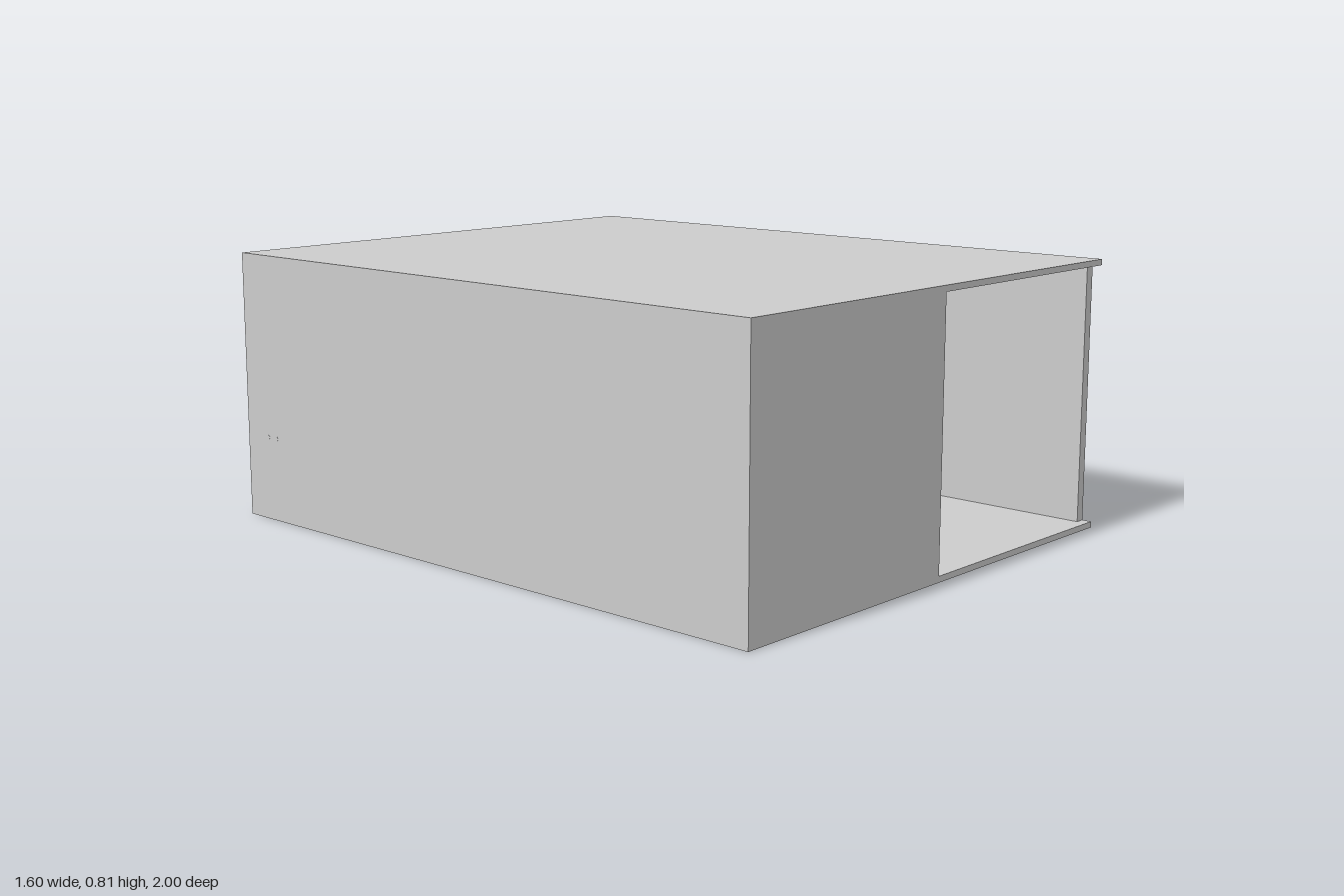
import * as THREE from 'three';
import { RoundedBoxGeometry } from 'three/addons/geometries/RoundedBoxGeometry.js';

const mat = new THREE.MeshStandardMaterial({ color: 0xcccccc, side: THREE.DoubleSide });

function add(parent, name, geometry, x = 0, y = 0, z = 0) {
  const mesh = new THREE.Mesh(geometry, mat);
  mesh.name = name;
  mesh.position.set(x, y, z);
  parent.add(mesh);
  return mesh;
}

// Box given by its minimum and maximum corners
function block(parent, name, [x0, y0, z0], [x1, y1, z1]) {
  return add(parent, name, new THREE.BoxGeometry(x1 - x0, y1 - y0, z1 - z0),
    (x0 + x1) / 2, (y0 + y1) / 2, (z0 + z1) / 2);
}

// Skin over elliptical rings: [y, centre z, half width, half length]
function loft(rings, n = 40) {
  const pos = [], idx = [];
  for (const [y, cz, rx, rz] of rings)
    for (let i = 0; i <= n; i++) {
      const a = (i / n) * Math.PI * 2;
      pos.push(Math.sin(a) * rx, y, cz + Math.cos(a) * rz);
    }
  for (let j = 0; j < rings.length - 1; j++)
    for (let i = 0; i < n; i++) {
      const a = j * (n + 1) + i, b = a + n + 1;
      idx.push(a, a + 1, b, a + 1, b + 1, b);
    }
  const g = new THREE.BufferGeometry();
  g.setAttribute('position', new THREE.Float32BufferAttribute(pos, 3));
  g.setIndex(idx);
  g.computeVertexNormals();
  return g;
}

function roundedRect(Type, w, h, r) {
  const s = new Type(), x = w / 2, y = h / 2;
  s.moveTo(-x + r, -y).lineTo(x - r, -y).quadraticCurveTo(x, -y, x, -y + r);
  s.lineTo(x, y - r).quadraticCurveTo(x, y, x - r, y);
  s.lineTo(-x + r, y).quadraticCurveTo(-x, y, -x, y - r);
  s.lineTo(-x, -y + r).quadraticCurveTo(-x, -y, -x + r, -y);
  return s;
}

const extrude = (shape, depth) =>
  new THREE.ExtrudeGeometry(shape, { depth, bevelEnabled: false, curveSegments: 20 });

// Shell with the right half of the front left open
function makeRoom() {
  const room = new THREE.Group();
  room.name = 'room';
  const X = 0.8, Z = 1, H = 0.81, t = 0.03, f = 0.018;
  block(room, 'floor', [-X, 0, -Z], [X, f, Z]);
  block(room, 'ceiling', [-X, H - f, -Z], [X, H, Z]);
  block(room, 'backWall', [-X, f, -Z], [X, H - f, -Z + t]);
  block(room, 'frontWall', [-X, f, Z - t], [0, H - f, Z]);
  for (const s of [-1, 1])
    add(room, s < 0 ? 'rightWall' : 'leftWall',
      new THREE.BoxGeometry(t, H - 2 * f, 2 * Z - 2 * t), s * (X - t / 2), H / 2, 0);
  return room;
}

// Wall-hung basin, back at local z = 0
function makeSink() {
  const sink = new THREE.Group();
  sink.name = 'sink';
  const w = 0.29, d = 0.22, top = 0.287, h = 0.062;
  const rim = roundedRect(THREE.Shape, w, d, 0.015);
  const hole = roundedRect(THREE.Path, 0.24, 0.13, 0.035);
  rim.holes.push(new THREE.Path(hole.getPoints(8).map(p => p.add(new THREE.Vector2(0, -0.02)))));
  add(sink, 'basin', extrude(rim, h), 0, top - h, d / 2).rotation.x = -Math.PI / 2;
  add(sink, 'basinFloor', new RoundedBoxGeometry(w - 0.01, 0.012, d - 0.01, 2, 0.005), 0, top - h + 0.007, d / 2);
  add(sink, 'drain', new THREE.CylinderGeometry(0.01, 0.01, 0.004, 20), 0, top - h + 0.015, 0.13);

  // Half pedestal, wider and deeper toward its lower part
  const s = new THREE.Shape();
  s.moveTo(-0.045, 0.227).lineTo(-0.057, 0.135).quadraticCurveTo(-0.057, 0.126, -0.047, 0.125);
  s.lineTo(0.047, 0.125).quadraticCurveTo(0.057, 0.126, 0.057, 0.135).lineTo(0.045, 0.227);
  const hollow = new THREE.Path();
  hollow.moveTo(-0.03, 0.222).lineTo(-0.035, 0.177).lineTo(0.035, 0.177).lineTo(0.03, 0.222);
  s.holes.push(hollow);
  const shroud = extrude(s, 0.14);
  const p = shroud.attributes.position;
  for (let i = 0; i < p.count; i++)
    if (p.getZ(i) > 0.1) p.setZ(i, 0.14 - Math.max(0, 0.177 - p.getY(i)) * 1.2);
  shroud.computeVertexNormals();
  add(sink, 'halfPedestal', shroud);
  add(sink, 'trapCover', new THREE.BoxGeometry(0.07, 0.047, 0.11), 0, 0.2, 0.055);

  // Mixer tap
  add(sink, 'tapBody', new THREE.CylinderGeometry(0.009, 0.01, 0.035, 20), 0, top + 0.017, 0.04);
  const spout = new THREE.CatmullRomCurve3([[0, 0.305, 0.04], [0, 0.314, 0.065], [0, 0.308, 0.09]]
    .map(v => new THREE.Vector3(...v)));
  add(sink, 'tapSpout', new THREE.TubeGeometry(spout, 12, 0.006, 12));
  add(sink, 'tapLever', new RoundedBoxGeometry(0.018, 0.008, 0.04, 2, 0.003), 0, 0.333, 0.048).rotation.x = -0.25;
  add(sink, 'tapNeck', new THREE.CylinderGeometry(0.007, 0.007, 0.014, 16), 0, 0.326, 0.04);
  return sink;
}

// Toilet, back at local z = 0 and facing local +z
function makeToilet() {
  const toilet = new THREE.Group();
  toilet.name = 'toilet';
  add(toilet, 'bowl', loft([
    [0.018, 0.105, 0.048, 0.055], [0.028, 0.105, 0.046, 0.052], [0.042, 0.108, 0.04, 0.045],
    [0.055, 0.113, 0.045, 0.052], [0.08, 0.117, 0.06, 0.067], [0.11, 0.12, 0.073, 0.079],
    [0.135, 0.122, 0.08, 0.086], [0.148, 0.122, 0.08, 0.088], [0.148, 0.125, 0.058, 0.066],
    [0.12, 0.125, 0.053, 0.06], [0.085, 0.115, 0.036, 0.038], [0.07, 0.11, 0.001, 0.001],
  ]));
  // Outlet bend at the back and shelf that carries the cistern
  const bend = new THREE.CatmullRomCurve3([[0, 0.06, 0.1], [0, 0.1, 0.065], [0, 0.085, 0.035], [0, 0.025, 0.025]]
    .map(v => new THREE.Vector3(...v)));
  add(toilet, 'outletBend', new THREE.TubeGeometry(bend, 24, 0.022, 20));
  add(toilet, 'foot', new RoundedBoxGeometry(0.075, 0.016, 0.1, 3, 0.006), 0, 0.025, 0.065);
  add(toilet, 'shelf', new RoundedBoxGeometry(0.13, 0.03, 0.07, 3, 0.008), 0, 0.15, 0.035);
  add(toilet, 'cistern', new RoundedBoxGeometry(0.17, 0.14, 0.026, 3, 0.008), 0, 0.24, 0.013);
  add(toilet, 'flushButton', new THREE.CylinderGeometry(0.008, 0.008, 0.004, 20), 0, 0.311, 0.013);

  // Seat ring lying on the rim, lid standing upright
  const seat = new THREE.Shape().absellipse(0, 0, 0.083, 0.09, 0, Math.PI * 2);
  seat.holes.push(new THREE.Path().absellipse(0, 0, 0.054, 0.06, 0, Math.PI * 2));
  add(toilet, 'seat', extrude(seat, 0.016), 0, 0.15, 0.131).rotation.x = -Math.PI / 2;
  const lid = new THREE.Shape().absellipse(0, 0, 0.081, 0.085, 0, Math.PI * 2);
  add(toilet, 'lid', extrude(lid, 0.01), 0, 0.255, 0.044).rotation.x = -0.08;
  for (const s of [-1, 1])
    add(toilet, 'hinge', new THREE.CylinderGeometry(0.007, 0.007, 0.022, 16), s * 0.035, 0.17, 0.048).rotation.z = Math.PI / 2;
  return toilet;
}

export function createModel() {
  const model = new THREE.Group();
  model.name = 'washroom';
  const sink = makeSink();
  sink.position.set(0.245, 0, -0.97);
  const toilet = makeToilet();
  toilet.position.set(0.77, 0, -0.5);
  toilet.rotation.y = -Math.PI / 2;
  model.add(makeRoom(), sink, toilet);

  // Pair of small pipe ends showing through the side wall
  for (const z of [-0.9, -0.86])
    add(model, 'pipeEnd', new THREE.CylinderGeometry(0.007, 0.007, 0.05, 16), -0.776, 0.255, z).rotation.z = Math.PI / 2;
  return model;
}
